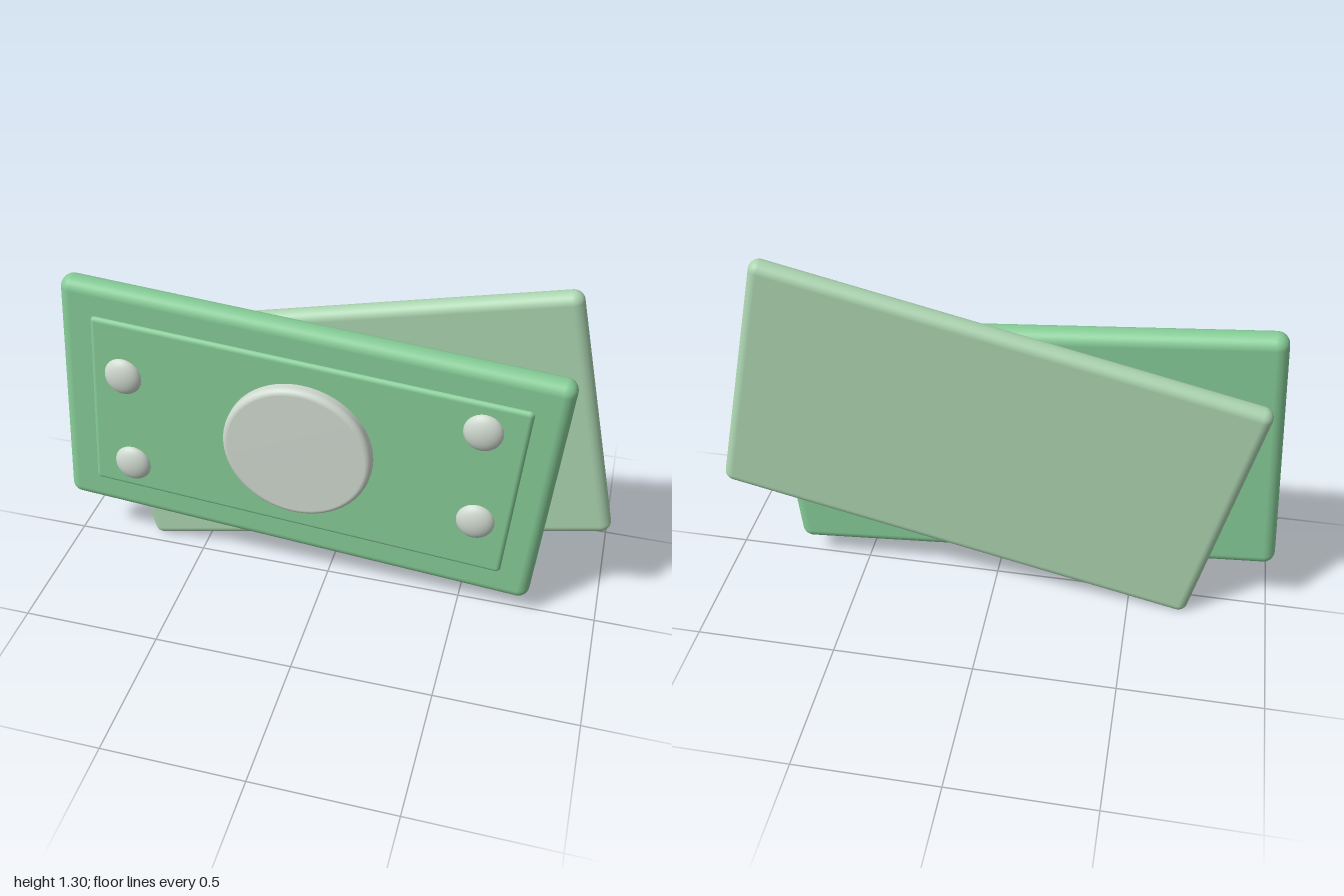
import * as THREE from 'three';
import { RoundedBoxGeometry } from 'three/addons/geometries/RoundedBoxGeometry.js';

const flat = (name, color) => {
  const m = new THREE.MeshStandardMaterial({ color });
  m.name = name;
  return m;
};

export function createModel() {
  const group = new THREE.Group();
  const noteGreen = flat('noteGreen', 0x86cc97);
  const paleGreen = flat('paleGreen', 0xabd4b0);
  const paleGrey = flat('paleGrey', 0xd0dad0);

  const add = (name, geometry, material, x, y, z, tilt = 0) => {
    const mesh = new THREE.Mesh(geometry, material);
    mesh.name = name;
    mesh.position.set(x, y, z);
    mesh.rotation.z = tilt;
    group.add(mesh);
    return mesh;
  };

  // Two tilted banknotes with a raised panel on the front one
  add('backNote', new RoundedBoxGeometry(1.758, 0.943, 0.074, 6, 0.036), paleGreen, 0.043, 0.65, -0.069, 0.225);
  add('frontNote', new RoundedBoxGeometry(1.762, 0.944, 0.09, 6, 0.042), noteGreen, -0.088, 0.62, 0.01, -0.08);
  add('innerPanel', new RoundedBoxGeometry(1.53, 0.71, 0.04, 4, 0.018), noteGreen, -0.087, 0.62, 0.047, -0.08);

  // Central medallion: disc with a rounded rim
  const R = 0.267, r = 0.022, top = 0.05;
  const profile = [new THREE.Vector2(R, 0)];
  for (let i = 0; i <= 6; i++) {
    const a = (i / 6) * Math.PI / 2;
    profile.push(new THREE.Vector2(R - r + r * Math.cos(a), top - r + r * Math.sin(a)));
  }
  profile.push(new THREE.Vector2(0, top));
  const disc = new THREE.LatheGeometry(profile, 64);
  disc.rotateX(Math.PI / 2);
  add('medallion', disc, paleGrey, -0.088, 0.62, 0.059);

  // Four flattened corner studs
  const stud = new THREE.SphereGeometry(1, 32, 20);
  for (const x of [-0.72, 0.544]) {
    for (const y of [0.81, 0.43]) {
      add('cornerStud', stud, paleGrey, x, y, 0.064).scale.set(0.068, 0.072, 0.036);
    }
  }
  return group;
}
